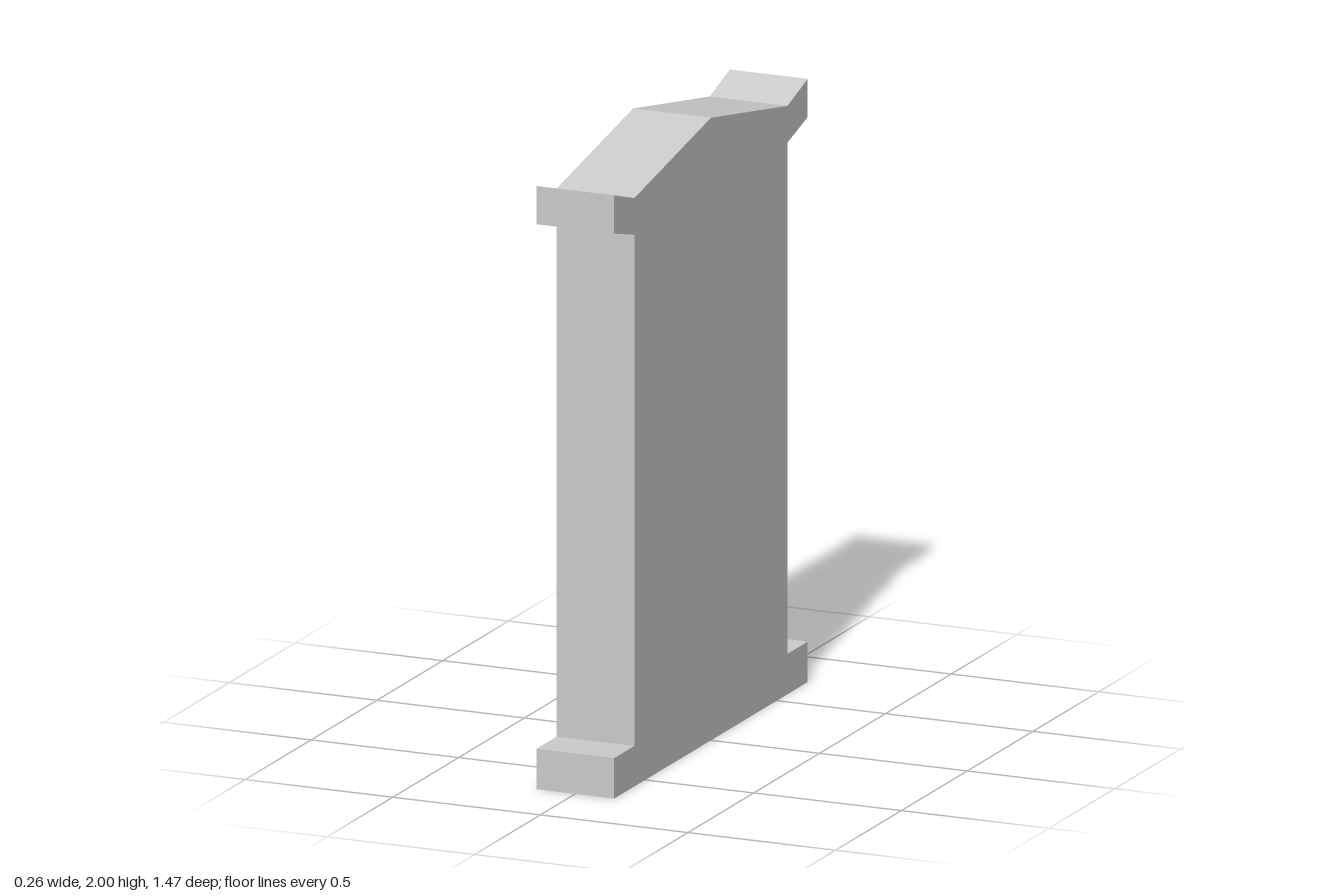
import * as THREE from 'three';

const HALF = 0.132;        // half of the slab thickness
const BEVEL_X = -0.076;    // where the sloping recess edge ends
const PANEL_X = -0.042;    // plane of the sunken panel

// Side silhouette as [z, y]: foot, shaft, flared eaves and ridge; mirrored in z
const PROFILE = [
  [0.735, 0], [0.735, 0.13], [0.582, 0.13], [0.582, 1.772],
  [0.735, 1.815], [0.735, 1.938], [0.582, 1.89],
];
const OUTLINE = [...PROFILE, [0, 2], ...PROFILE.map(([z, y]) => [-z, y]).reverse()];

// Rectangular recess opening, shrunk by an inset
function opening(inset) {
  const z = 0.512 - inset, bottom = 0.187 + inset, top = 1.715 - inset;
  return [[-z, bottom], [z, bottom], [z, top], [-z, top]];
}

const toPoints = (ring) => ring.map(([z, y]) => new THREE.Vector2(z, y));

// Flat face in a plane of constant x, turned towards side -1 or +1
function face(ring, x, side, hole) {
  const shape = new THREE.Shape(toPoints(ring));
  if (hole) shape.holes.push(new THREE.Path(toPoints(hole)));
  return new THREE.ShapeGeometry(shape).rotateY(side * Math.PI / 2).translate(x, 0, 0);
}

// Band of quads joining two matching rings
function band(ringA, xA, ringB, xB) {
  const positions = [];
  ringA.forEach((a, i) => {
    const j = (i + 1) % ringA.length;
    const p = [xA, a[1], a[0]];
    const q = [xA, ringA[j][1], ringA[j][0]];
    const r = [xB, ringB[j][1], ringB[j][0]];
    const s = [xB, ringB[i][1], ringB[i][0]];
    positions.push(...p, ...q, ...r, ...p, ...r, ...s);
  });
  const geometry = new THREE.BufferGeometry();
  geometry.setAttribute('position', new THREE.Float32BufferAttribute(positions, 3));
  geometry.computeVertexNormals();
  return geometry;
}

export function createModel() {
  const group = new THREE.Group();
  group.name = 'gabledSlab';
  const material = new THREE.MeshStandardMaterial({ color: 0xcccccc, flatShading: true });
  const outer = opening(0), inner = opening(0.024);

  const parts = {
    // Closed shell of the slab
    plainFace: face(OUTLINE, HALF, 1),
    frameFace: face(OUTLINE, -HALF, -1, outer),
    edges: band(OUTLINE, HALF, OUTLINE, -HALF),
    // Recess: sloping edge, straight wall and sunken panel
    recessBevel: band(outer, -HALF, inner, BEVEL_X),
    recessWall: band(inner, BEVEL_X, inner, PANEL_X),
    sunkenPanel: face(inner, PANEL_X, -1),
  };
  for (const [name, geometry] of Object.entries(parts)) {
    const mesh = new THREE.Mesh(geometry, material);
    mesh.name = name;
    group.add(mesh);
  }
  return group;
}
